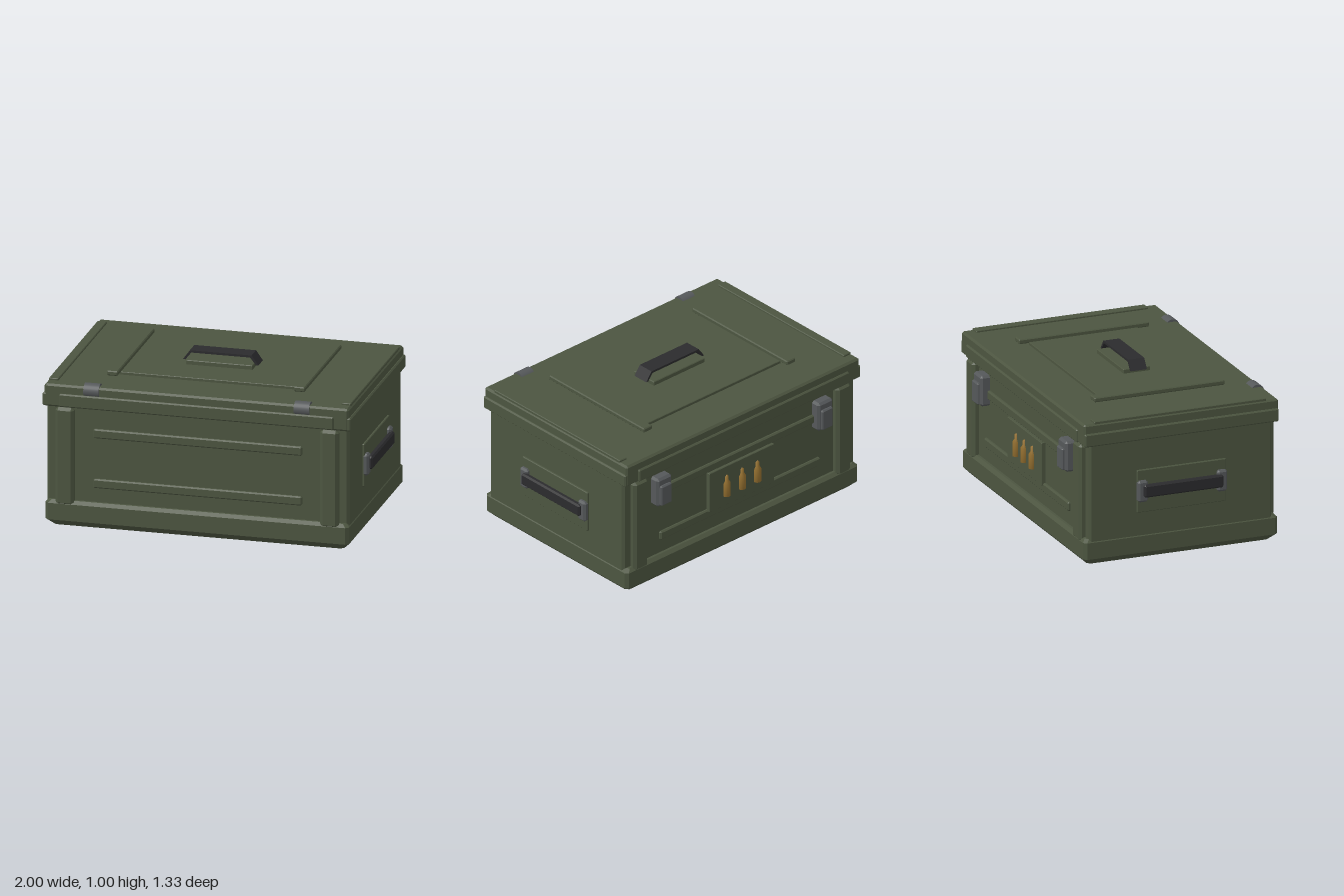
import * as THREE from 'three';
import { ConvexGeometry } from 'three/addons/geometries/ConvexGeometry.js';

const paint = (name, color) => {
  const m = new THREE.MeshStandardMaterial({ color });
  m.name = name;
  return m;
};

// Depth of the crate's own centre; the latches push the overall bounds backwards
const CZ = 0.015;

// Box with chamfered edges, given by its limits
function chamferBox(x0, x1, y0, y1, z0, z1, c = 0.006) {
  const pts = [];
  const size = [(x1 - x0) / 2, (y1 - y0) / 2, (z1 - z0) / 2];
  const mid = [(x0 + x1) / 2, (y0 + y1) / 2, (z0 + z1) / 2];
  for (const sx of [-1, 1]) for (const sy of [-1, 1]) for (const sz of [-1, 1]) {
    const s = [sx, sy, sz];
    for (let a = 0; a < 3; a++) {
      const p = s.map((v, i) => mid[i] + v * (size[i] - (i === a ? 0 : c)));
      pts.push(new THREE.Vector3(...p));
    }
  }
  return new ConvexGeometry(pts);
}

// Base tray: stacked octagonal sections of [height, inset]
function trayGeometry(hx, hz, corner, sections) {
  const pts = [];
  for (const [y, inset] of sections)
    for (const sx of [-1, 1]) for (const sz of [-1, 1]) {
      const x = hx - inset, z = hz - inset;
      pts.push(new THREE.Vector3(sx * (x - corner), y, CZ + sz * z));
      pts.push(new THREE.Vector3(sx * x, y, CZ + sz * (z - corner)));
    }
  return new ConvexGeometry(pts);
}

export function createModel() {
  const green = paint('olive paint', 0x4c5540);
  const steel = paint('grey steel', 0x55585a);
  const black = paint('black grip', 0x2b2b2d);
  const brass = paint('brass', 0x957030);

  const model = new THREE.Group();
  model.name = 'crate';
  const add = (name, geo, mat = green, parent = model) => {
    const m = new THREE.Mesh(geo, mat);
    m.name = name;
    parent.add(m);
    return m;
  };

  // Main shell
  add('baseTray', trayGeometry(0.95, 0.636, 0.02, [[0, 0.04], [0.04, 0], [0.145, 0], [0.165, 0.02]]));
  add('body', chamferBox(-0.945, 0.945, 0.1, 0.78, CZ - 0.6, CZ + 0.6, 0.015));

  // Lid with its raised lower rim
  add('lid', chamferBox(-0.952, 0.952, 0.76, 0.903, CZ - 0.638, CZ + 0.638, 0.012));
  for (const s of [-1, 1]) {
    const z = CZ + s * 0.62, x = s * 0.945;
    add('lidRimLong', chamferBox(-0.86, 0.86, 0.765, 0.848, z - 0.03, z + 0.03, 0.008));
    add('lidRimSide', chamferBox(x - 0.02, x + 0.02, 0.762, 0.845, CZ - 0.636, CZ + 0.636, 0.008));
  }

  // Corner posts and pressed ribs on front and back
  for (const sz of [-1, 1]) {
    const post = [CZ + sz * 0.58, CZ + sz * 0.64].sort((a, b) => a - b);
    for (const sx of [-1, 1]) {
      const x = sx * 0.828;
      add('cornerPost', chamferBox(x - 0.058, x + 0.058, 0.135, 0.757, ...post, 0.018));
    }
    const rib = [CZ + sz * 0.58, CZ + sz * 0.617].sort((a, b) => a - b);
    for (const y of [0.285, 0.602])
      add('rib', chamferBox(-0.653, 0.653, y - 0.029, y + 0.029, ...rib, 0.008));
  }

  // Lid panel, cross bars and edge strips
  add('lidPanel', chamferBox(-0.56, 0.56, 0.89, 0.921, -0.347, 0.367, 0.003));
  for (const s of [-1, 1]) {
    const bar = s * 0.585, strip = s * 0.915;
    add('lidBar', chamferBox(bar - 0.035, bar + 0.035, 0.915, 0.945, -0.413, 0.44));
    add('lidStrip', chamferBox(strip - 0.03, strip + 0.03, 0.89, 0.915, -0.553, 0.575, 0.004));
  }

  // Top carry handle: a bent band above its plate
  add('handlePlate', chamferBox(-0.208, 0.208, 0.91, 0.948, -0.05, 0.127, 0.004));
  const outer = [[-0.236, 0.94], [-0.193, 1], [0.193, 1], [0.236, 0.94]];
  const inner = [[0.22, 0.94], [0.184, 0.986], [-0.184, 0.986], [-0.22, 0.94]];
  const band = new THREE.Shape([...outer, ...inner].map(p => new THREE.Vector2(...p)));
  const bandGeo = new THREE.ExtrudeGeometry(band, { depth: 0.105, bevelEnabled: false });
  add('topHandle', bandGeo.translate(0, 0, -0.013), black);

  // Side handles: plate, two brackets and a grip on each end
  for (const s of [-1, 1]) {
    const side = new THREE.Group();
    side.name = s > 0 ? 'leftHandle' : 'rightHandle';
    const span = (a, b) => (s > 0 ? [a, b] : [-b, -a]);
    add('sidePlate', chamferBox(...span(0.93, 0.958), 0.3, 0.57, -0.277, 0.307, 0.004), green, side);
    for (const k of [-1, 1]) {
      const z = CZ + k * 0.26;
      add('bracket', chamferBox(...span(0.94, 0.982), 0.37, 0.506, z - 0.033, z + 0.033, 0.012), steel, side);
    }
    add('grip', chamferBox(...span(0.962, 1), 0.402, 0.482, CZ - 0.26, CZ + 0.26, 0.01), black, side);
    model.add(side);
  }

  // Rounded hinge knuckles on the front edge, latches at the back
  for (const s of [-1, 1]) {
    const x = s * 0.658;
    const knuckle = new THREE.CylinderGeometry(0.045, 0.045, 0.096, 24).rotateZ(Math.PI / 2);
    add('hinge', knuckle.translate(x, 0.874, 0.617), steel);
    add('latchPlate', chamferBox(x - 0.061, x + 0.061, 0.53, 0.725, -0.645, -0.57, 0.014), steel);
    add('latchTab', chamferBox(x - 0.044, x + 0.044, 0.54, 0.678, -0.662, -0.62, 0.008), steel);
  }

  // Back badge panel with three brass rounds
  add('badgePanel', chamferBox(-0.265, 0.265, 0.3, 0.572, -0.612, -0.57, 0.003));
  const profile = [[0, 0], [0.025, 0], [0.025, 0.09], [0.013, 0.108], [0.013, 0.135], [0, 0.146]]
    .map(p => new THREE.Vector2(...p));
  for (const x of [-0.125, 0, 0.125]) {
    const round = add('round', new THREE.LatheGeometry(profile, 16), brass);
    round.position.set(x, 0.367, -0.611);
  }
  return model;
}
